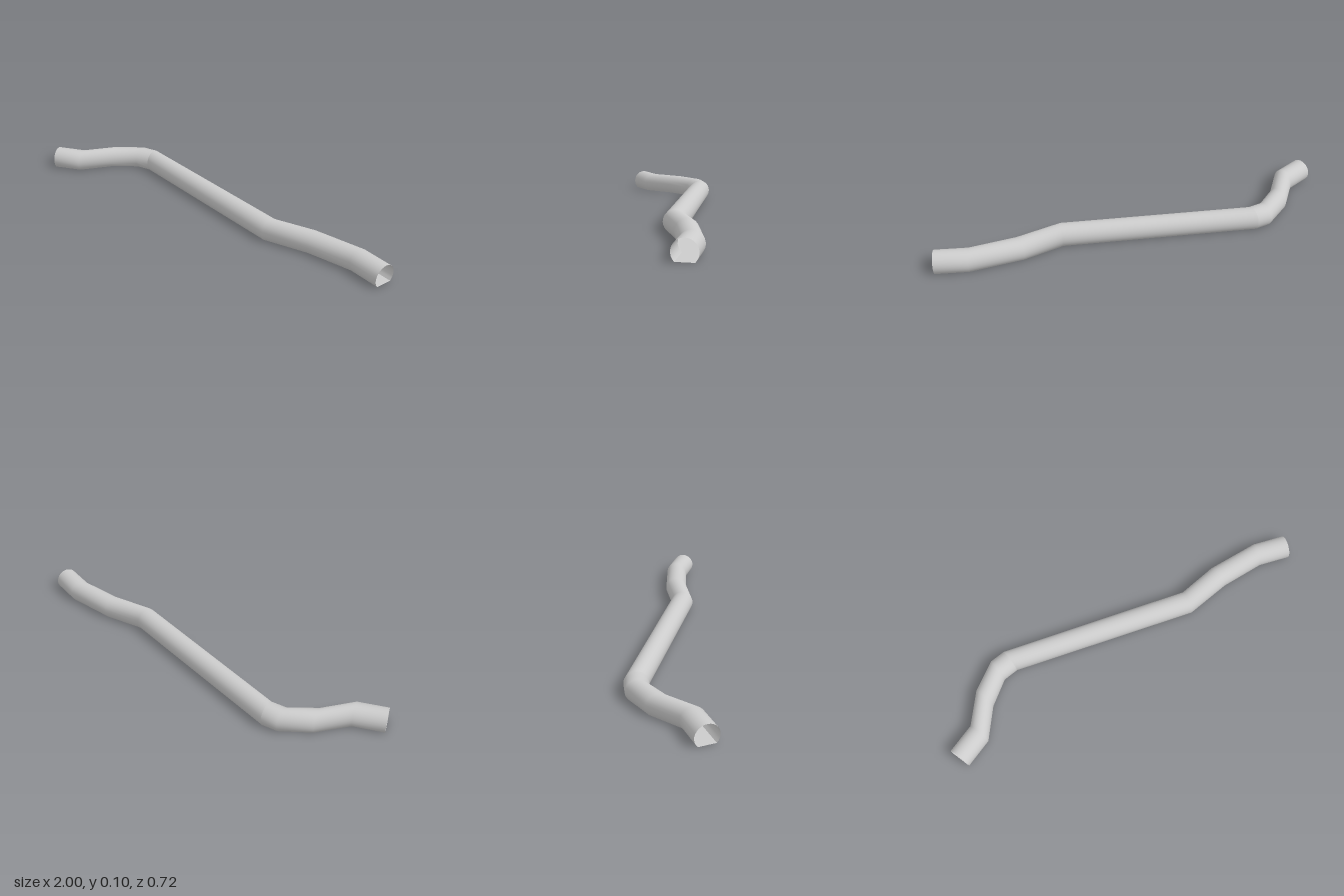
import * as THREE from 'three';

const RADIUS = 0.059, CENTRE_Y = 0.041, SEGMENTS = 20;
const START = -0.77, END = Math.PI - START; // arc ends meet the flat floor

// Each station is [x, z, angle]: centre of a ring and heading of its cross axis in plan
const bentStations = [
  [-0.965, 0.312, 0.935], [-0.843, 0.218, 0.97], [-0.773, 0.047, 1.01],
  [-0.674, -0.078, 1.18], [-0.6, -0.109, 1.2],
];
const longStations = [
  [-0.6, -0.109, 1.2], [0.383, -0.151, 1.44], [0.59, -0.243, 1.17],
  [0.834, -0.306, 1.57], [1, -0.306, 1.57],
];

const material = new THREE.MeshStandardMaterial({ color: 0xcccccc, side: THREE.DoubleSide });

// Loft a strip of the cross-section, given as arc angles, through the stations
function loft(name, stations, angles) {
  const positions = [], index = [], n = angles.length;
  stations.forEach(([x, z, heading], r) => {
    angles.forEach((a, i) => {
      const across = RADIUS * Math.cos(a);
      positions.push(
        x + across * Math.cos(heading),
        Math.max(0, CENTRE_Y + RADIUS * Math.sin(a)),
        z + across * Math.sin(heading));
      if (r < stations.length - 1 && i < n - 1) {
        const p = r * n + i, q = p + n;
        index.push(p, q, p + 1, q, q + 1, p + 1);
      }
    });
  });
  const geometry = new THREE.BufferGeometry();
  geometry.setAttribute('position', new THREE.Float32BufferAttribute(positions, 3));
  geometry.setIndex(index);
  geometry.computeVertexNormals();
  const mesh = new THREE.Mesh(geometry, material);
  mesh.name = name;
  return mesh;
}

export function createModel() {
  const model = new THREE.Group();
  model.name = 'tunnel';
  const arch = Array.from({ length: SEGMENTS + 1 }, (_, i) => START + (END - START) * i / SEGMENTS);
  const floor = [END, START];

  // Two open-ended lengths meeting at a seam, each a rounded vault over a flat floor
  for (const [name, stations] of [['bentSection', bentStations], ['longSection', longStations]]) {
    const section = new THREE.Group();
    section.name = name;
    section.add(loft('vault', stations, arch), loft('floor', stations, floor));
    model.add(section);
  }
  return model;
}
